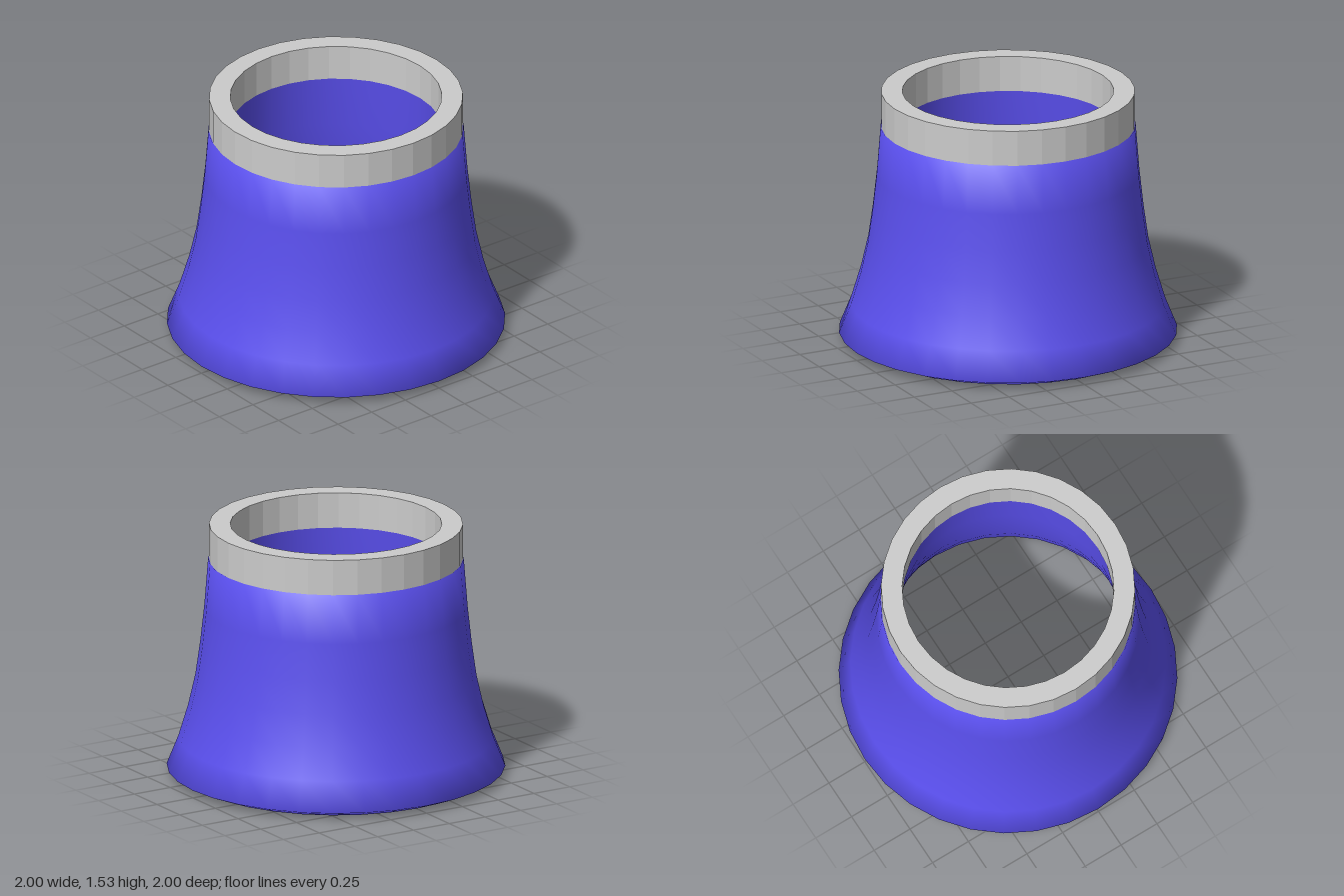
import * as THREE from 'three';

const SIDES = 32;

// Revolve a closed [radius, height] profile: down the inside, up the outside
function revolve(name, profile, material) {
  const points = profile.map(([r, y]) => new THREE.Vector2(r, y));
  const mesh = new THREE.Mesh(new THREE.LatheGeometry(points, SIDES), material);
  mesh.name = name;
  return mesh;
}

export function createModel() {
  const group = new THREE.Group();
  group.name = 'flaredCollar';

  // Smooth flared skirt, hollow, with a bevelled foot
  const skirt = [
    [0.625, 1.315], [0.65, 1.0], [0.675, 0.8], [0.71, 0.6], [0.755, 0.4], [0.81, 0.2], [0.89, 0],
    [1.0, 0.045], [0.93, 0.22], [0.873, 0.41], [0.83, 0.6], [0.802, 0.8], [0.778, 1.02], [0.755, 1.315],
    [0.625, 1.315],
  ];
  group.add(revolve('flaredSkirt', skirt, new THREE.MeshStandardMaterial({ color: 0x5a4fee })));

  // Faceted neck ring seated on the skirt
  const ring = [[0.625, 1.53], [0.625, 1.315], [0.75, 1.315], [0.75, 1.53], [0.625, 1.53]];
  group.add(revolve('neckRing', ring, new THREE.MeshStandardMaterial({ color: 0xcccccc, flatShading: true })));

  return group;
}
